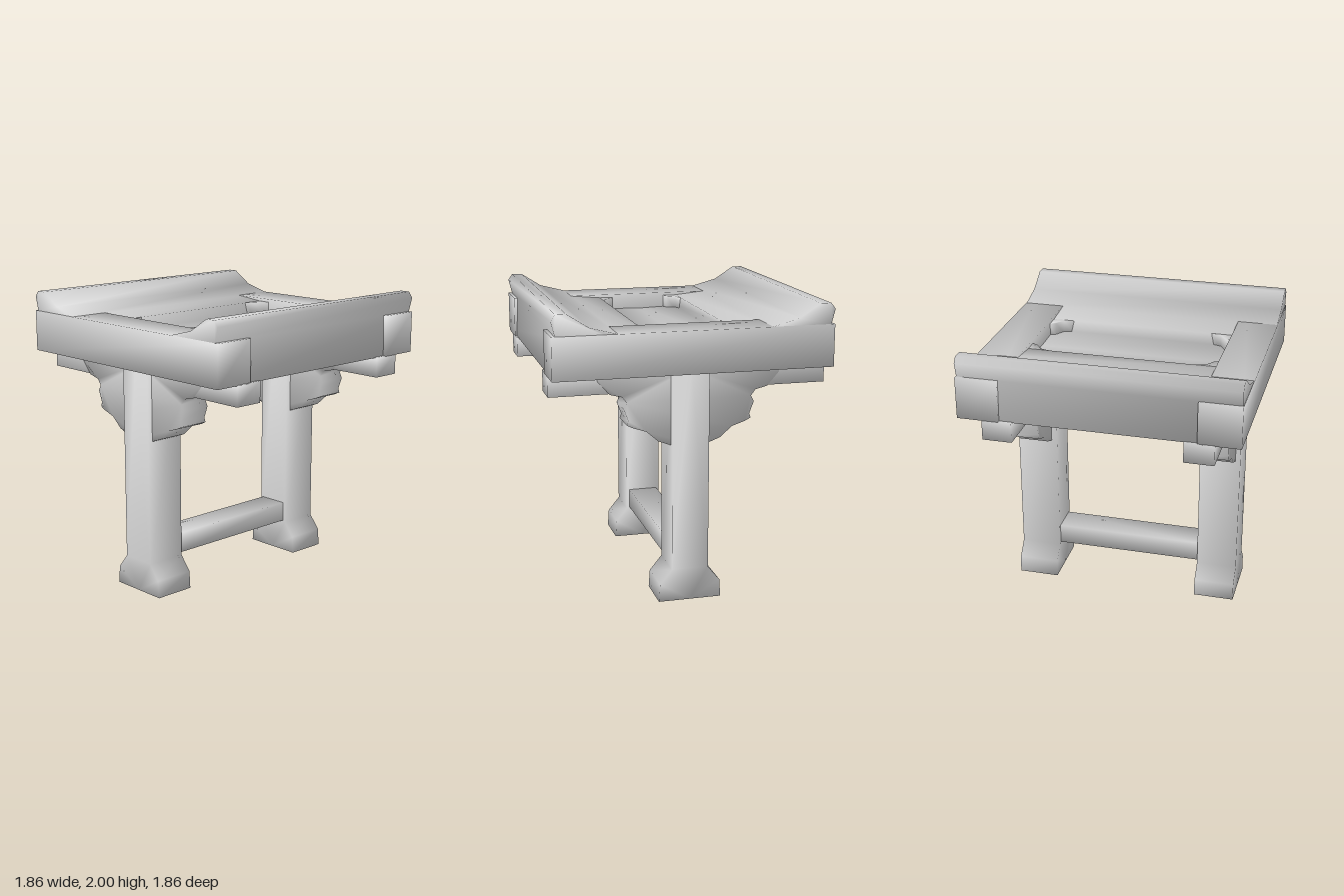
import * as THREE from 'three';
import { toCreasedNormals } from 'three/addons/utils/BufferGeometryUtils.js';

const material = new THREE.MeshStandardMaterial({ color: 0xcccccc });
const SOFT = 1.7; // crease angle that rounds the shading over square edges

function part(name, geometry) {
  const mesh = new THREE.Mesh(toCreasedNormals(geometry, SOFT), material);
  mesh.name = name;
  return mesh;
}

// Mirror a half outline (x > 0, listed from one centre end to the other) across x = 0.
function mirrored(half) {
  const other = half.filter(([x]) => x > 0).map(([x, y]) => [-x, y]).reverse();
  return [...half, ...other];
}

// Extrude a 2D outline along z.
function prism(points, z0, z1) {
  const shape = new THREE.Shape(points.map(([x, y]) => new THREE.Vector2(x, y)));
  const geometry = new THREE.ExtrudeGeometry(shape, { depth: z1 - z0, bevelEnabled: false });
  return geometry.translate(0, 0, z0);
}

function box(name, x0, x1, y0, y1, z0, z1) {
  const geometry = new THREE.BoxGeometry(x1 - x0, y1 - y0, z1 - z0);
  geometry.translate((x0 + x1) / 2, (y0 + y1) / 2, (z0 + z1) / 2);
  return part(name, geometry);
}

export function createModel() {
  const model = new THREE.Group();
  model.name = 'stool';

  // Dished seat with raised side lips and a sunken middle panel
  const seat = mirrored([
    [0, 1.58], [0.915, 1.58], [0.905, 1.86], [0.93, 1.96], [0.9, 2], [0.83, 2],
    [0.69, 1.91], [0.5, 1.86], [0.29, 1.84], [0.285, 1.76], [0, 1.75],
  ]);
  model.add(part('seat', prism(seat, -0.928, 0.928)));

  // Cut corners of the sunken panel
  const corner = [
    [0.3, 0.5], [0.3, 0.66], [0.19, 0.66], [0.21, 0.61], [0.27, 0.57], [0.29, 0.5],
  ];
  for (const sx of [1, -1]) {
    for (const sz of [1, -1]) {
      const geometry = prism(corner.map(([x, z]) => [x * sx, z * sz]), 0, 0.1);
      geometry.rotateX(Math.PI / 2).translate(0, 1.84, 0);
      model.add(part('panelCorner', geometry));
    }
  }

  // Carved bracket under the seat
  const bracket = mirrored([
    [0, 1.08], [0.13, 1.08], [0.21, 1.11], [0.29, 1.18], [0.38, 1.21], [0.42, 1.23],
    [0.41, 1.26], [0.44, 1.34], [0.42, 1.38], [0.45, 1.42], [0.53, 1.44], [0.61, 1.53],
    [0.62, 1.585], [0, 1.585],
  ]);

  // Leg with a flared foot
  const leg = mirrored([
    [0, 0], [0.215, 0], [0.207, 0.12], [0.125, 0.22], [0.125, 1.6], [0, 1.6],
  ]);

  // Front and back supports
  for (const [end, s] of [['front', 1], ['back', -1]]) {
    const span = (a, b) => (s > 0 ? [a, b] : [-b, -a]);
    model.add(box(end + 'Beam', -0.93, 0.93, 1.58, 1.862, ...span(0.65, 0.932)));
    model.add(box(end + 'CrossArm', -0.93, 0.93, 1.445, 1.585, ...span(0.565, 0.765)));
    model.add(part(end + 'Bracket', prism(bracket, ...span(0.56, 0.77))));
    model.add(part(end + 'Leg', prism(leg, ...span(0.52, 0.805))));
  }

  // Low rail joining the legs
  model.add(box('stretcher', -0.105, 0.105, 0.23, 0.37, -0.53, 0.53));

  return model;
}
